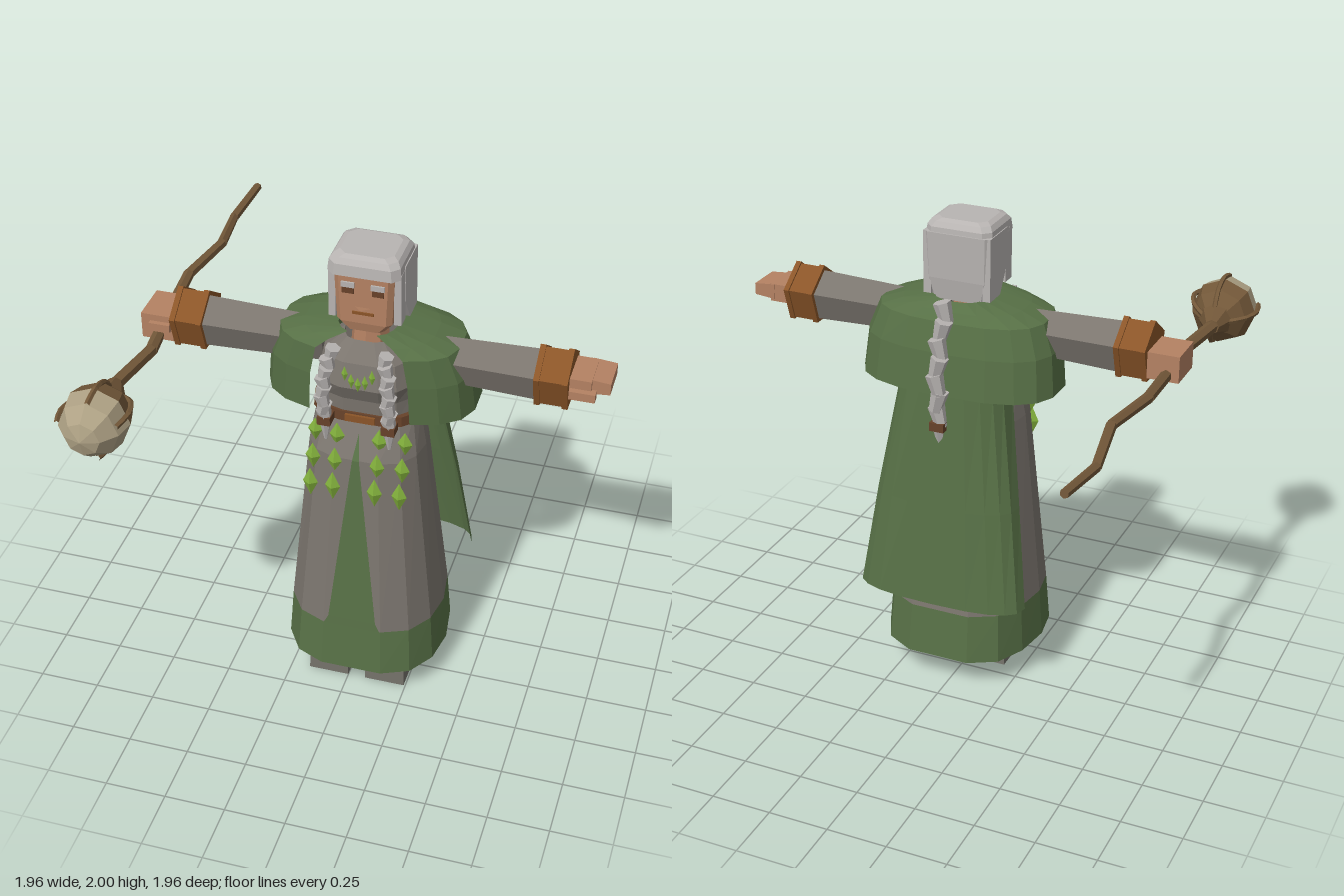
import * as THREE from 'three';

const CX = 0.036, CZ = 0.155; // body axis
const mat = (name, color, side = THREE.FrontSide) => {
  const m = new THREE.MeshStandardMaterial({ color, side });
  m.name = name;
  return m;
};

// Faceted normals
const flat = (g) => {
  const f = g.index ? g.toNonIndexed() : g;
  f.computeVertexNormals();
  return f;
};

// Skin between rings of [x, y, z] points, listed bottom to top
function loft(rings, closed = true, capped = false) {
  const pos = [], n = rings[0].length;
  const tri = (a, b, c) => pos.push(...a, ...b, ...c);
  for (let j = 0; j < rings.length - 1; j++)
    for (let i = 0; i < (closed ? n : n - 1); i++) {
      const k = (i + 1) % n, lo = rings[j], hi = rings[j + 1];
      tri(lo[i], lo[k], hi[k]);
      tri(lo[i], hi[k], hi[i]);
    }
  if (capped)
    for (let i = 1; i < n - 1; i++) {
      const lo = rings[0], hi = rings[rings.length - 1];
      tri(lo[0], lo[i + 1], lo[i]);
      tri(hi[0], hi[i], hi[i + 1]);
    }
  const g = new THREE.BufferGeometry();
  g.setAttribute('position', new THREE.Float32BufferAttribute(pos, 3));
  g.computeVertexNormals();
  return g;
}

// Body outline, front to +x to back to -x
const half = [[0.38, 1], [0.72, 0.85], [0.93, 0.52], [1, 0.08], [0.93, -0.42], [0.75, -0.8], [0.4, -1]];
const outline = [...half, ...half.slice().reverse().map(([x, z]) => [-x, z])];
const ring = ([y, rx, rz, cz]) => outline.map(([x, z]) => [CX + x * rx, y, cz + z * rz]);
// Rectangle with cut corners
const rect = (y, hx, z0, z1, c = 0.02) => [[hx - c, z1], [hx, z1 - c], [hx, z0 + c], [hx - c, z0],
  [c - hx, z0], [-hx, z0 + c], [-hx, z1 - c], [c - hx, z1]].map(([x, z]) => [CX + x, y, z]);
const bulge = (v, p) => Math.sign(v) * Math.abs(v) ** p;

export function createModel() {
  const D = THREE.DoubleSide;
  const robe = mat('robe grey', 0x7b756e, D), green = mat('cloak green', 0x577046, D);
  const skin = mat('skin', 0xb58263), hair = mat('silver hair', 0xb8b4b2);
  const leather = mat('dark leather', 0x67422a), cuffBrown = mat('cuff brown', 0x8b5528);
  const leaf = mat('leaf green', 0x82b03c), wood = mat('wood', 0x735839);
  const shell = mat('gourd tan', 0xaea184), boot = mat('boot grey', 0x74726a);

  const model = new THREE.Group();
  const add = (name, geo, m, p = [0, 0, 0], parent = model) => {
    const mesh = new THREE.Mesh(flat(geo), m);
    mesh.name = name;
    mesh.position.set(...p);
    parent.add(mesh);
    return mesh;
  };
  const box = (name, size, m, p, parent) => add(name, new THREE.BoxGeometry(...size), m, p, parent);
  const rod = (name, a, b, r0, r1, m, sides = 6) => {
    const A = new THREE.Vector3(...a), B = new THREE.Vector3(...b), d = B.clone().sub(A);
    const mesh = add(name, new THREE.CylinderGeometry(r1, r0, d.length(), sides), m, A.add(B).multiplyScalar(0.5).toArray());
    mesh.quaternion.setFromUnitVectors(new THREE.Vector3(0, 1, 0), d.normalize());
    return mesh;
  };

  // Long skirt with hem and pointed front panel
  const hemTop = [0.34, 0.32, 0.3, 0.155];
  add('hem', loft([[0.13, 0.335, 0.325, 0.153], hemTop].map(ring)), green);
  add('skirt', loft([hemTop, [1.15, 0.235, 0.2, 0.18], [1.3, 0.208, 0.13, 0.175]].map(ring)), robe);
  add('frontPanel', loft([[0.34, 0.12, 0.459], [0.38, 0.1, 0.4555], [1.15, 0.014, 0.385], [1.25, 0, 0.335]]
    .map(([y, w, z]) => [[CX - w, y, z], [CX + w, y, z]]), false), green);

  // Bodice, belt and buckle
  add('bodice', loft([[1.3, 0.195, 0.13, 0.175], [1.39, 0.19, 0.135, 0.175], [1.46, 0.2, 0.17, 0.17],
    [1.56, 0.18, 0.155, 0.16], [1.63, 0.1, 0.1, 0.155]].map(ring)), robe);
  add('belt', loft([[1.288, 0.224, 0.143, 0.175], [1.33, 0.22, 0.14, 0.175]].map(ring), true, true), leather);
  box('buckle', [0.12, 0.03, 0.012], cuffBrown, [CX, 1.308, 0.32]);

  // Shoulder mantle, open at the front
  const arc = (t0, t1, n, f) => Array.from({ length: n + 1 }, (_, i) => f(t0 + (t1 - t0) * i / n));
  add('mantle', loft([[1.33, 0.422, 0.24, 0.105], [1.5, 0.405, 0.23, 0.12], [1.62, 0.36, 0.21, 0.135],
    [1.655, 0.26, 0.185, 0.14], [1.685, 0.12, 0.15, 0.145]].map(([y, rx, rz, cz]) =>
    arc(0.38, Math.PI * 2 - 0.38, 16, (t) =>
      [CX + rx * bulge(Math.sin(t), 0.75), y, cz + rz * bulge(Math.cos(t), 0.75)])), false), green);

  // Long back cape
  add('cape', loft([[0.42, 0.368, -0.105, -0.23], [0.85, 0.31, -0.04, -0.18], [1.33, 0.235, 0.05, -0.125],
    [1.58, 0.2, 0.06, -0.06]].map(([y, rx, edge, back]) =>
    arc(Math.PI / 2, Math.PI * 1.5, 10, (t) =>
      [CX + rx * bulge(Math.sin(t), 0.75), y, edge + (back - edge) * bulge(-Math.cos(t), 0.75)])), false), green);

  // Legs and boots
  for (const s of [-1, 1]) {
    const x = CX + s * 0.122;
    add('leg', new THREE.CylinderGeometry(0.06, 0.045, 0.6, 6), skin, [x, 0.42, 0.15]);
    add('boot', loft([[0, 0.085, 0.065, 0.39], [0.075, 0.083, 0.068, 0.388], [0.098, 0.076, 0.075, 0.3]]
      .map(([y, w, z0, z1]) => [[x + w, y, z1], [x + w, y, z0], [x - w, y, z0], [x - w, y, z1]]), true, true), boot);
    box('bootCuff', [0.12, 0.05, 0.14], boot, [x, 0.115, 0.145]);
  }

  // Neck, face and hair
  add('neck', new THREE.CylinderGeometry(0.065, 0.08, 0.18, 8), skin, [CX, 1.64, 0.165]);
  add('face', loft([rect(1.68, 0.075, 0.1, 0.262), rect(1.72, 0.108, 0.06, 0.272), rect(1.94, 0.118, 0.05, 0.272)], true, true), skin);
  add('hairCap', loft([rect(1.925, 0.143, 0.025, 0.285, 0.03), rect(1.97, 0.138, 0.03, 0.28, 0.03),
    rect(1.99, 0.125, 0.045, 0.265, 0.03), rect(2.0, 0.105, 0.065, 0.245, 0.03)], true, true), hair);
  add('backHair', loft([rect(1.67, 0.118, 0.04, 0.1), rect(1.76, 0.138, 0.028, 0.12),
    rect(1.95, 0.143, 0.022, 0.12)], true, true), hair);
  for (const s of [-1, 1]) {
    const lock = new THREE.Shape([[0.03, 1.69], [0.13, 1.69], [0.2, 1.8], [0.2, 1.95], [0.03, 1.95]]
      .map(([z, y]) => new THREE.Vector2(-z, y)));
    const side = new THREE.ExtrudeGeometry(lock, { depth: 0.032, bevelEnabled: false });
    side.translate(0, 0, -0.016).rotateY(Math.PI / 2);
    add('sideHair', side, hair, [CX + s * 0.128, 0, 0]);
    box('frontHair', [0.028, 0.22, 0.06], hair, [CX + s * 0.128, 1.83, 0.22]);
    box('eye', [0.046, 0.026, 0.006], leather, [CX + s * 0.058, 1.86, 0.273]);
    box('brow', [0.052, 0.022, 0.009], hair, [CX + s * 0.058, 1.885, 0.275]);
  }
  add('nose', loft([[[CX + 0.033, 1.79, 0.27], [CX - 0.033, 1.79, 0.27], [CX, 1.8, 0.312]].reverse(),
    [[CX + 0.006, 1.86, 0.27], [CX - 0.006, 1.86, 0.27], [CX, 1.86, 0.278]].reverse()]
    .map((r) => [r[0], r[2], r[1]].reverse()), true, true), skin).material = skin;
  box('mouth', [0.085, 0.012, 0.006], cuffBrown, [CX, 1.765, 0.273]);

  // Braids: chunky links along a path, then a tie and a tail
  function braid(name, points, links, r) {
    const path = new THREE.CatmullRomCurve3(points.map((p) => new THREE.Vector3(...p)));
    const step = path.getLength() / links;
    for (let i = 0; i < links; i++) {
      const p = path.getPointAt((i + 0.5) / links);
      const link = add(name, new THREE.CylinderGeometry(r, r * 0.72, step * 1.25, 6), hair, p.toArray());
      link.rotation.z = i % 2 ? 0.25 : -0.25;
    }
    const end = points[points.length - 1];
    box(name + 'Tie', [r * 1.7, 0.036, r * 1.9], leather, [end[0], end[1] - 0.005, end[2]]);
    add(name + 'Tail', new THREE.CylinderGeometry(r * 0.8, r * 0.2, 0.09, 6), hair, [end[0], end[1] - 0.06, end[2]]);
  }
  for (const s of [-1, 1])
    braid('frontBraid', [[CX + s * 0.1, 1.63, 0.33], [CX + s * 0.122, 1.54, 0.37], [CX + s * 0.13, 1.42, 0.38],
      [CX + s * 0.128, 1.32, 0.355]], 8, 0.031);
  braid('backBraid', [[CX, 1.7, -0.07], [CX, 1.58, -0.12], [CX, 1.42, -0.16], [CX, 1.21, -0.135]], 7, 0.037);

  // Hanging leaf strings and leaf necklace
  const leafAt = (x, y, z, w, h) => add('leaf', new THREE.OctahedronGeometry(1).scale(w, h, w * 0.7), leaf, [x, y, z]);
  for (const s of [-1, 1])
    for (let i = 0; i < 3; i++) {
      leafAt(CX + s * 0.085, 1.235 - i * 0.1, 0.345 + i * 0.035, 0.031, 0.058 + i * 0.005);
      leafAt(CX + s * 0.181, 1.225 - i * 0.1, 0.32 + i * 0.04, 0.031, 0.055 + i * 0.006);
    }
  for (let i = -2; i <= 2; i++)
    leafAt(CX + i * 0.027, 1.49 + i * i * 0.009, 0.348 - Math.abs(i) * 0.004, 0.013, 0.034);

  // Arms: five-sided sleeves and cuffs, apex up
  const pent = (r0, r1, len) => new THREE.CylinderGeometry(r1, r0, len, 5).rotateZ(-Math.PI / 2).rotateX(-Math.PI / 2);
  for (const s of [1, -1]) {
    const arm = new THREE.Group();
    arm.name = s > 0 ? 'leftArm' : 'rightArm';
    arm.position.set(CX, 0, CZ);
    arm.rotation.y = s > 0 ? 0 : Math.PI;
    model.add(arm);
    add('sleeve', pent(0.09, 0.106, 0.49), robe, [0.42, 1.55, 0], arm);
    add('cuff', pent(0.118, 0.118, 0.13), cuffBrown, [0.721, 1.551, 0], arm);
    for (const x of [0.667, 0.775]) add('cuffRim', pent(0.126, 0.126, 0.022), cuffBrown, [x, 1.551, 0], arm);
  }

  // Open left hand
  box('palm', [0.1, 0.075, 0.16], skin, [0.855, 1.555, 0.15]);
  const fingers = new THREE.BoxGeometry(0.09, 0.065, 0.145);
  const fp = fingers.attributes.position;
  for (let i = 0; i < fp.count; i++) if (fp.getX(i) > 0) fp.setY(i, fp.getY(i) * 0.75);
  add('fingers', fingers, skin, [0.93, 1.56, 0.14]);
  box('thumb', [0.1, 0.035, 0.035], skin, [0.875, 1.535, 0.237]);
  // Gripping right hand
  box('fist', [0.13, 0.11, 0.17], skin, [-0.815, 1.525, 0.155]);
  box('fistThumb', [0.085, 0.035, 0.04], skin, [-0.8, 1.535, 0.24]);

  // Crooked staff
  const staff = [[-0.82, 1.49, -0.98], [-0.84, 1.475, -0.72], [-0.796, 1.51, -0.45], [-0.843, 1.512, -0.18],
    [-0.828, 1.495, 0.08], [-0.803, 1.485, 0.34], [-0.845, 1.495, 0.61]];
  for (let i = 0; i < staff.length - 1; i++)
    rod('staff', staff[i], staff[i + 1], 0.018 + i * 0.0015, 0.0195 + i * 0.0015, wood);
  rod('staffNeck', [-0.845, 1.495, 0.6], [-0.832, 1.488, 0.71], 0.03, 0.075, wood, 8);

  // Gourd head with gripping roots
  const G = [-0.832, 1.488, 0.825], R = 0.136;
  const dome = (a, b) => new THREE.SphereGeometry(R, 8, 3, 0, Math.PI * 2, a, b).rotateX(Math.PI / 2).scale(1, 1, 1.12);
  add('gourdFront', dome(0, Math.PI * 0.52), shell, G);
  add('gourdBack', dome(Math.PI * 0.52, Math.PI * 0.48), wood, G);
  for (const a of [0.35, 1.5, 3.05, 4.95]) {
    const pts = [2.75, 2.2, 1.6, 1.05].map((t) => new THREE.Vector3(
      Math.cos(a) * Math.sin(t) * R * 1.03, Math.sin(a) * Math.sin(t) * R * 1.03, Math.cos(t) * R * 1.12));
    add('root', new THREE.TubeGeometry(new THREE.CatmullRomCurve3(pts), 6, 0.011, 5), wood, G);
  }
  return model;
}
